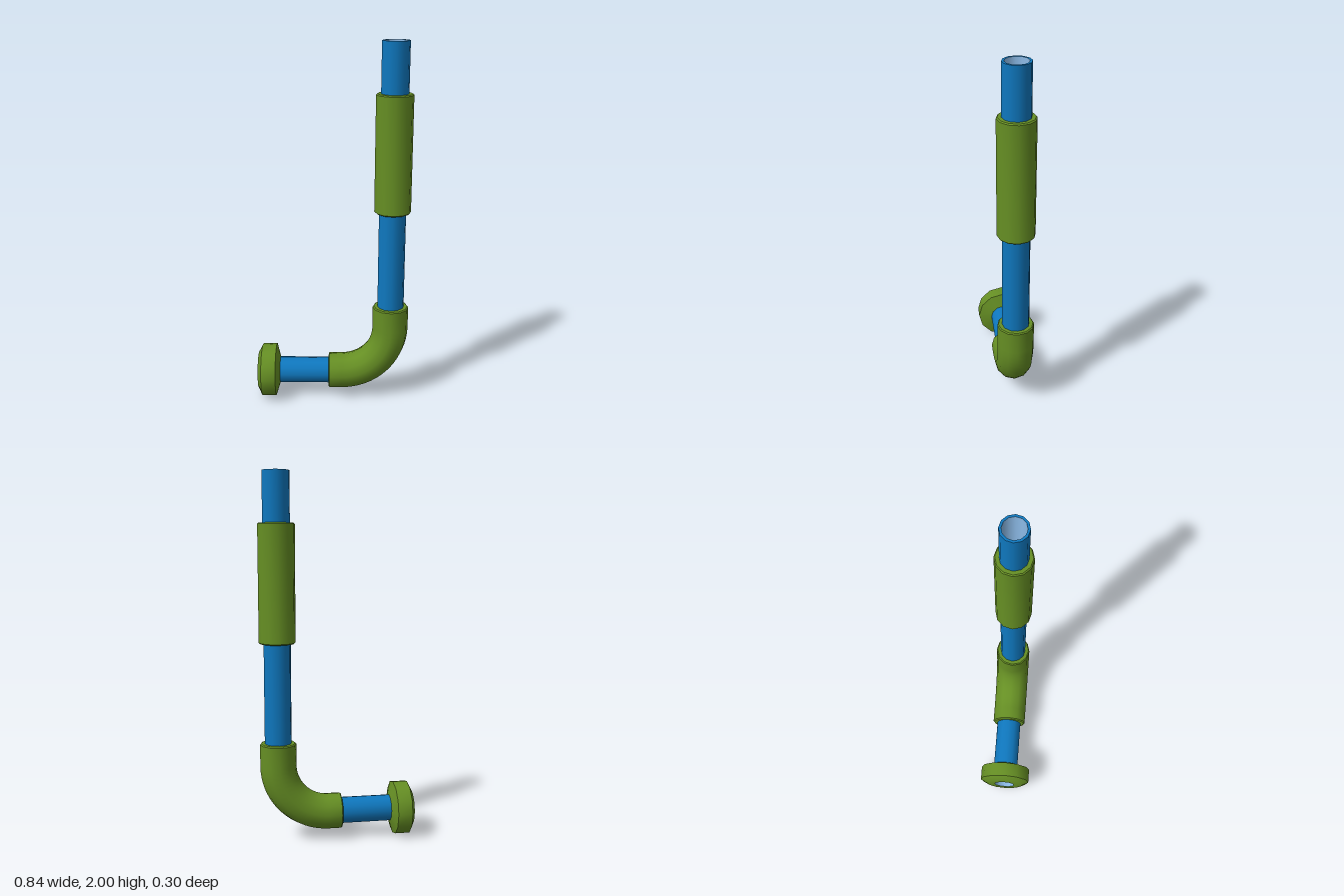
import * as THREE from 'three';
import { toCreasedNormals } from 'three/addons/utils/BufferGeometryUtils.js';

const SIDES = 12;
// Centre line: a run along x, a quarter bend, then a riser along y
const START_X = -0.423, AXIS_Y = 0.148;
const BEND_X = 0.05, BEND_R = 0.272;
const BEND_START = BEND_X - START_X;
const BEND_LENGTH = BEND_R * Math.PI / 2;
const BEND_END = BEND_START + BEND_LENGTH;

const atX = x => x - START_X;
const atY = y => BEND_END + y - AXIS_Y - BEND_R;

// Point and heading on the centre line at distance s
function along(s) {
  if (s <= BEND_START) return { x: START_X + s, y: AXIS_Y, angle: 0 };
  const angle = Math.min((s - BEND_START) / BEND_R, Math.PI / 2);
  return {
    x: BEND_X + BEND_R * Math.sin(angle),
    y: AXIS_Y + BEND_R * (1 - Math.cos(angle)) + Math.max(0, s - BEND_END),
    angle,
  };
}

// Sweep [distance, radius] stations along the centre line, adding rings in the bend
function sweep(name, material, stations) {
  const rings = [stations[0]];
  for (let i = 1; i < stations.length; i++) {
    const [s0] = stations[i - 1], [s1, r1] = stations[i];
    if (Math.min(s0, s1) < BEND_START && Math.max(s0, s1) > BEND_END) {
      const steps = 16;
      for (let k = 0; k <= steps; k++) {
        const t = s1 > s0 ? k / steps : 1 - k / steps;
        rings.push([BEND_START + t * BEND_LENGTH, r1]);
      }
    }
    rings.push(stations[i]);
  }
  const positions = [], indices = [];
  rings.forEach(([s, r], i) => {
    const { x, y, angle } = along(s);
    for (let j = 0; j < SIDES; j++) {
      const a = j / SIDES * Math.PI * 2;
      const up = r * Math.cos(a);
      positions.push(x - up * Math.sin(angle), y + up * Math.cos(angle), r * Math.sin(a));
      if (i === 0) continue;
      const p = (i - 1) * SIDES, q = i * SIDES, n = (j + 1) % SIDES;
      indices.push(p + j, p + n, q + j, p + n, q + n, q + j);
    }
  });
  const geometry = new THREE.BufferGeometry();
  geometry.setAttribute('position', new THREE.Float32BufferAttribute(positions, 3));
  geometry.setIndex(indices);
  const mesh = new THREE.Mesh(toCreasedNormals(geometry, 0.7), material);
  mesh.name = name;
  return mesh;
}

// Sleeve profile with slightly bevelled ends
function sleeveProfile(s0, s1) {
  const r = 0.099, b = 0.006, inner = 0.07;
  return [[s0, inner], [s0, r - b], [s0 + b, r], [s1 - b, r], [s1, r - b], [s1, inner]];
}

export function createModel() {
  const green = new THREE.MeshStandardMaterial({ name: 'olive green', color: 0x668f24 });
  const blue = new THREE.MeshStandardMaterial({ name: 'pipe blue', color: 0x0f78bf });
  const pale = new THREE.MeshStandardMaterial({ name: 'pale blue lining', color: 0x8ebdea });

  const OUTER = 0.073, BORE = 0.06, TOP = atY(2);
  const model = new THREE.Group();
  model.name = 'bentPipe';
  model.add(
    // Pipe with its top rim, and the lining of the bore
    sweep('pipe', blue, [[0.06, OUTER], [TOP, OUTER], [TOP, BORE]]),
    sweep('pipeLining', pale, [[TOP, BORE], [0, BORE]]),
    // Bevelled end collar
    sweep('endCollar', green, [[0, BORE], [0, 0.105], [0.022, 0.148], [0.102, 0.148], [0.124, 0.072]]),
    // Elbow cover and straight grip on the riser
    sweep('elbow', green, sleeveProfile(atX(-0.024), atY(0.545))),
    sweep('gripSleeve', green, sleeveProfile(atY(1.09), atY(1.73))),
  );
  return model;
}
